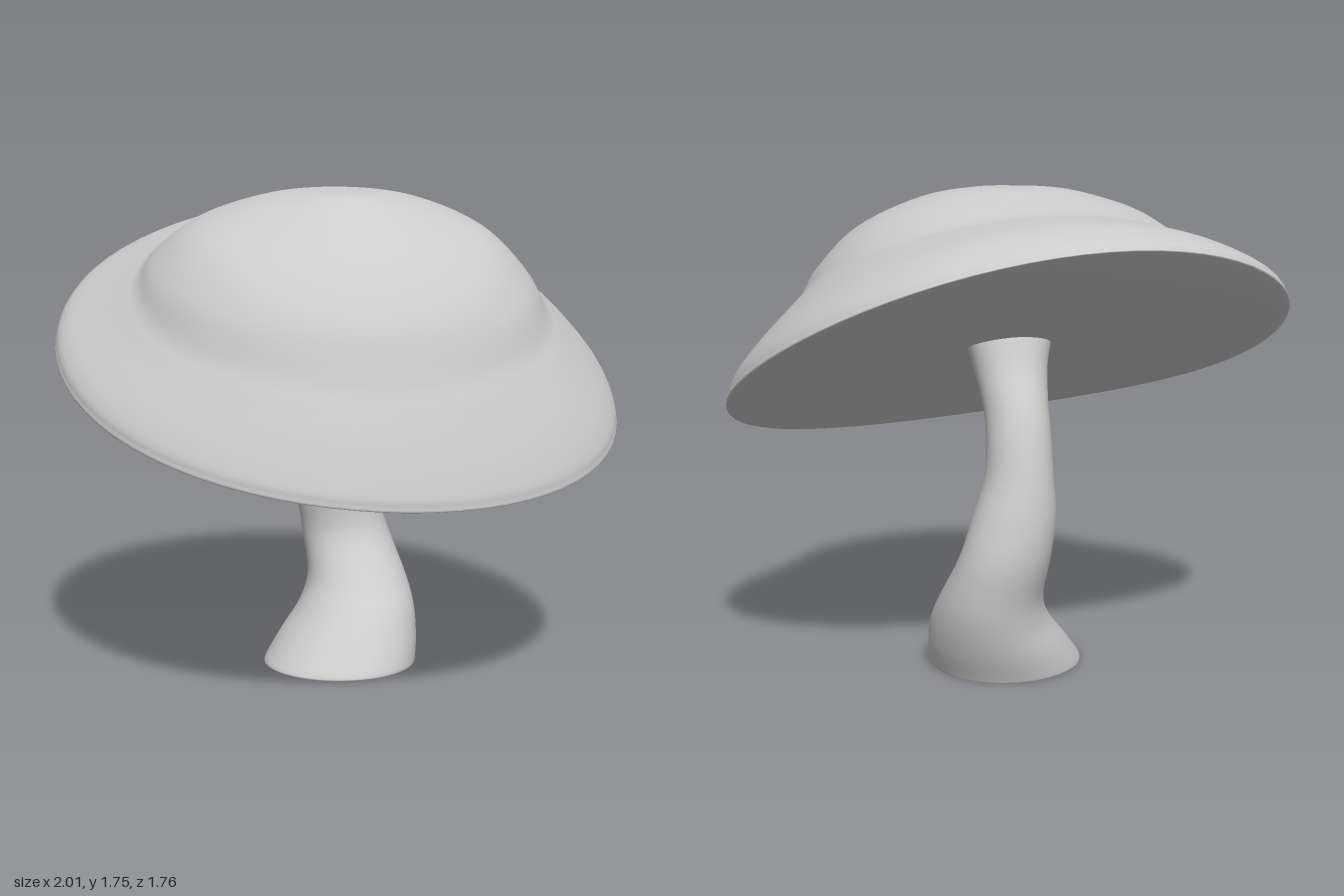
import * as THREE from 'three';
import { mergeVertices } from 'three/addons/utils/BufferGeometryUtils.js';

const SIDES = 72;

// Catmull-Rom value between rows of numbers
function sampleRow(rows, t) {
  const i = Math.min(Math.floor(t), rows.length - 2), f = t - i;
  const at = k => rows[Math.max(0, Math.min(rows.length - 1, k))];
  return rows[i].map((p1, c) => {
    const p0 = at(i - 1)[c], p2 = at(i + 1)[c], p3 = at(i + 2)[c];
    return p1 + 0.5 * f * (p2 - p0 + f * (2 * p0 - 5 * p1 + 4 * p2 - p3 + f * (3 * (p1 - p2) + p3 - p0)));
  });
}

// Smooth surface through rings; place(row, cos, sin) gives a point on a ring
function loft(rows, steps, place) {
  const pos = [], index = [], n = (rows.length - 1) * steps;
  for (let i = 0; i <= n; i++) {
    const row = sampleRow(rows, i / steps);
    for (let j = 0; j < SIDES; j++) {
      const a = (j / SIDES) * Math.PI * 2;
      pos.push(...place(row, Math.cos(a), Math.sin(a)));
      if (i === n) continue;
      const k = i * SIDES + j, k2 = i * SIDES + (j + 1) % SIDES;
      index.push(k, k2, k + SIDES, k2, k2 + SIDES, k + SIDES);
    }
  }
  let geo = new THREE.BufferGeometry();
  geo.setAttribute('position', new THREE.Float32BufferAttribute(pos, 3));
  geo.setIndex(index);
  geo = mergeVertices(geo, 1e-5);
  geo.computeVertexNormals();
  return geo;
}

export function createModel() {
  const group = new THREE.Group();
  const material = new THREE.MeshStandardMaterial({ color: 0xcccccc, side: THREE.DoubleSide });
  const add = (name, geo) => {
    const mesh = new THREE.Mesh(geo, material);
    mesh.name = name;
    group.add(mesh);
    return mesh;
  };

  // Cap rings: front z, front y, back z, back y, side y, half width
  const dome = [
    [0.21, 1.737, 0.21, 1.737, 1.737, 0],
    [0.29, 1.71, 0.1, 1.744, 1.73, 0.1],
    [0.42, 1.62, -0.1, 1.75, 1.695, 0.3],
    [0.6, 1.45, -0.28, 1.715, 1.595, 0.52],
    [0.7, 1.305, -0.41, 1.687, 1.46, 0.66],
    [0.757, 1.135, -0.48, 1.678, 1.36, 0.72],
  ];
  const brim = [
    [0.79, 1.055, -0.55, 1.677, 1.305, 0.775],
    [0.835, 0.94, -0.72, 1.665, 1.21, 0.885],
    [0.868, 0.83, -0.83, 1.63, 1.125, 0.967],
    [0.88, 0.77, -0.875, 1.6, 1.06, 1.0],
  ];
  const underside = [
    [0.855, 0.755, -0.86, 1.575, 1.035, 0.975],
    [0.65, 0.87, -0.66, 1.44, 1.095, 0.72],
    [0.29, 1.06, -0.4, 1.3, 1.16, 0.38],
    [-0.04, 1.2, -0.04, 1.2, 1.2, 0],
  ];
  add('cap', loft([...dome, ...brim, ...underside], 6, ([zf, yf, zb, yb, ym, rx], c, s) => [
    rx * c,
    // tilted and bowed ring, lifted on the -x side
    ym + s * (yf - yb) / 2 + s * s * ((yf + yb) / 2 - ym) + rx ** 4 * (0.06 * c * c - 0.08 * c),
    // outline skewed towards the back on the -x side
    (zf + zb) / 2 + s * (zf - zb) / 2 + 0.06 * rx * rx * c ** 3,
  ]));

  // Stem rings from top to foot: y, low x, high x, front z, back z
  const stem = [
    [1.24, -0.17, 0.17, 0.15, -0.15],
    [1.12, -0.13, 0.14, 0.09, -0.2],
    [1.0, -0.11, 0.125, 0.01, -0.265],
    [0.9, -0.105, 0.125, -0.06, -0.305],
    [0.75, -0.105, 0.14, -0.095, -0.345],
    [0.6, -0.11, 0.19, -0.1, -0.375],
    [0.45, -0.09, 0.24, -0.085, -0.385],
    [0.3, -0.08, 0.29, 0.02, -0.362],
    [0.2, -0.12, 0.31, 0.12, -0.345],
    [0.1, -0.2, 0.31, 0.2, -0.325],
    [0.015, -0.262, 0.298, 0.26, -0.3],
    [0, -0.262, 0.292, 0.255, -0.295],
  ];
  add('stem', loft(stem, 5, ([y, x0, x1, zf, zb], c, s) => [
    (x0 + x1) / 2 + c * (x1 - x0) / 2, y, (zf + zb) / 2 + s * (zf - zb) / 2,
  ]));

  // Flat foot
  const foot = add('stemBase', new THREE.CircleGeometry(1, SIDES).rotateX(Math.PI / 2));
  foot.scale.set(0.277, 1, 0.275);
  foot.position.set(0.015, 0, -0.02);

  return group;
}
